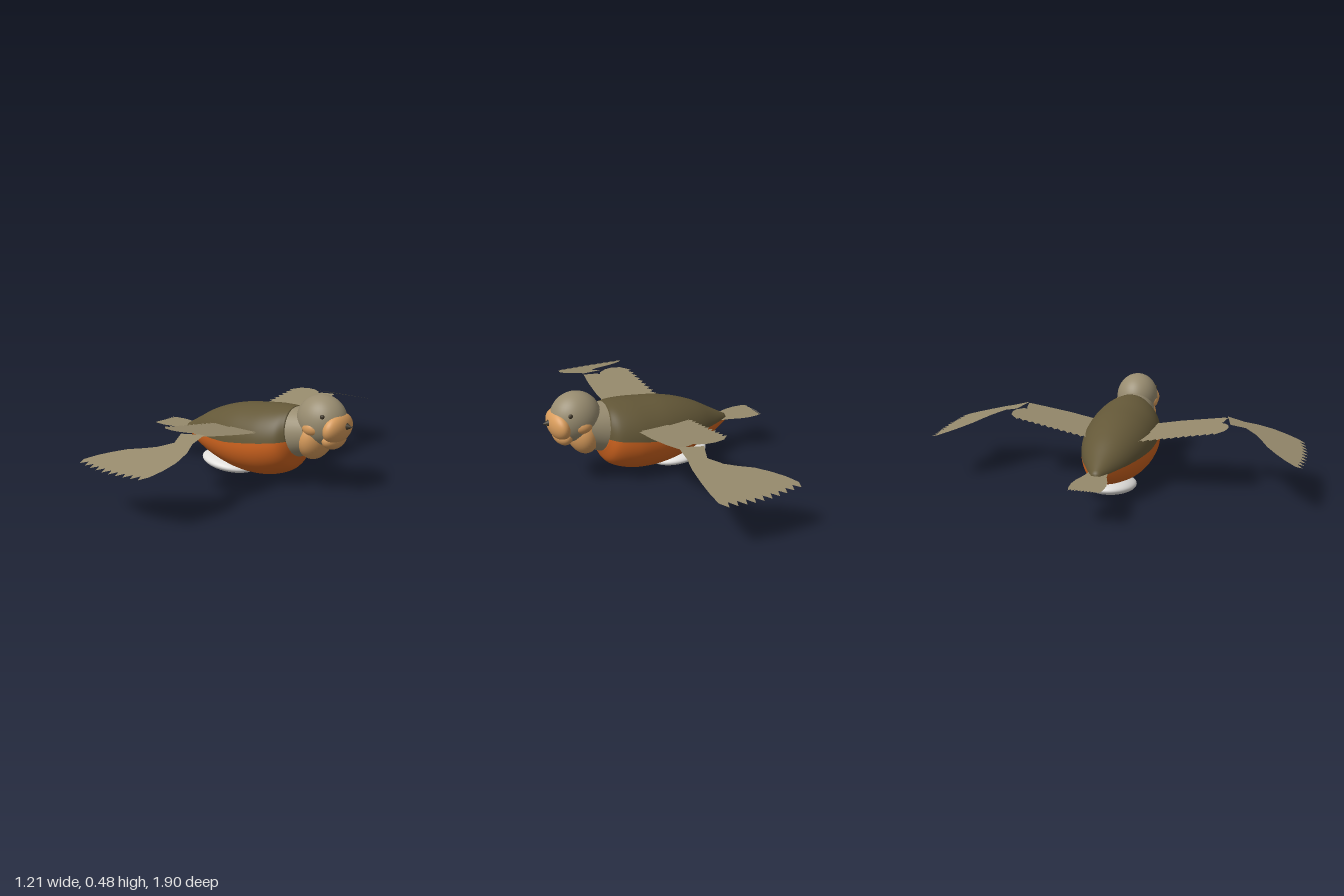
import * as THREE from 'three';

const material = (name, color, side = THREE.FrontSide) =>
  Object.assign(new THREE.MeshStandardMaterial({ color, side }), { name });

export function createModel() {
  const bird = new THREE.Group();
  bird.name = 'bird';
  const olive = material('dark olive', 0x645838);
  const orange = material('rust orange', 0xd0641f);
  const white = material('white', 0xe0dedb);
  const taupe = material('taupe', 0x988c70);
  const peach = material('peach', 0xd89c5c);
  const dark = material('dark brown', 0x40382a);
  const feather = material('feather taupe', 0x968a6c, THREE.DoubleSide);

  const add = (name, geometry, mat) => {
    const mesh = new THREE.Mesh(geometry, mat);
    mesh.name = name;
    bird.add(mesh);
    return mesh;
  };
  const ellipsoid = (name, mat, pos, radii, tilt = 0) => {
    const mesh = add(name, new THREE.SphereGeometry(1, 40, 28), mat);
    mesh.position.set(...pos);
    mesh.scale.set(...radii);
    mesh.rotation.z = tilt;
    return mesh;
  };

  // Body: round sections along x (x, centre height, radius), split into back and breast
  const sections = new THREE.CatmullRomCurve3([
    [-0.39, 0.185, 0.02], [-0.3, 0.187, 0.069], [-0.2, 0.195, 0.117], [-0.1, 0.2, 0.151],
    [0, 0.203, 0.173], [0.1, 0.207, 0.182], [0.2, 0.219, 0.179], [0.29, 0.246, 0.155],
    [0.33, 0.283, 0.116],
  ].map(p => new THREE.Vector3(...p)));
  const rings = sections.getPoints(48);
  rings.unshift(new THREE.Vector3(-0.39, 0.185, 0.0005));
  rings.push(new THREE.Vector3(0.33, 0.283, 0.0005));

  const bodyHalf = (upper) => {
    const pos = [], index = [], n = 36;
    rings.forEach(({ x, y: c, z: r }, i) => {
      const split = 0.205 + (x < 0 ? 0.05 : 0.14) * x;
      const a0 = Math.asin(THREE.MathUtils.clamp((split - c) / Math.max(r, 0.02), -0.9, 0.9));
      const from = upper ? a0 : Math.PI - a0;
      const to = upper ? Math.PI - a0 : 2 * Math.PI + a0;
      const shear = 0.18 * THREE.MathUtils.smoothstep(x, 0.1, 0.33);
      for (let j = 0; j <= n; j++) {
        const a = from + (to - from) * j / n;
        const dy = r * Math.sin(a);
        pos.push(x - shear * dy, c + dy, 1.04 * r * Math.cos(a));
        if (i && j) {
          const d = i * (n + 1) + j, b = d - n - 1;
          index.push(b - 1, d - 1, d, b - 1, d, b);
        }
      }
    });
    const g = new THREE.BufferGeometry();
    g.setAttribute('position', new THREE.Float32BufferAttribute(pos, 3));
    g.setIndex(index);
    g.computeVertexNormals();
    return g;
  };
  add('back', bodyHalf(true), olive);
  add('breast', bodyHalf(false), orange);
  ellipsoid('rumpPatch', white, [-0.107, 0.046, 0], [0.16, 0.041, 0.127], -0.12);

  // Neck and throat
  const neck = add('neck', new THREE.CylinderGeometry(0.105, 0.123, 0.09, 40), taupe);
  neck.position.set(0.374, 0.285, 0);
  neck.rotation.z = -Math.PI / 2 + 0.18;
  ellipsoid('throat', peach, [0.426, 0.268, 0], [0.078, 0.112, 0.112], -0.15);

  // Head and face
  ellipsoid('head', taupe, [0.457, 0.354, 0], [0.126, 0.125, 0.111]);
  ellipsoid('face', peach, [0.545, 0.33, 0], [0.052, 0.075, 0.106], -0.15);
  ellipsoid('chin', peach, [0.528, 0.275, 0], [0.046, 0.05, 0.085], -0.15);
  const beak = add('beak', new THREE.ConeGeometry(0.025, 0.045, 24), dark);
  beak.position.set(0.602, 0.345, 0);
  beak.rotation.z = -Math.PI / 2;
  for (const s of [1, -1]) {
    const side = s > 0 ? 'Left' : 'Right';
    ellipsoid('cheek' + side, peach, [0.452, 0.33, s * 0.072], [0.053, 0.04, 0.044]);
    ellipsoid('eye' + side, dark, [0.515, 0.396, s * 0.09], [0.011, 0.011, 0.009]);
  }

  // Serrated feather edge from p to q with a slight outward bow
  const teeth = ([px, pz], [qx, qz], n, depth, bow) => {
    const len = Math.hypot(qx - px, qz - pz), nx = (qz - pz) / len, nz = (px - qx) / len;
    const pts = [];
    const put = (t, d) => {
      const out = d + bow * Math.sin(Math.PI * t);
      pts.push([px + (qx - px) * t + nx * out, pz + (qz - pz) * t + nz * out]);
    };
    for (let i = 0; i < n; i++) {
      put(i / n, 0);
      put((i + 0.75) / n, depth);
    }
    put(1, 0);
    return pts;
  };
  // Thin flat sheet from an (x, z) outline, raised by a height rule
  const sheet = (name, outline, height, s = 1) => {
    const g = new THREE.ShapeGeometry(new THREE.Shape(outline.map(p => new THREE.Vector2(...p))));
    const p = g.attributes.position;
    for (let i = 0; i < p.count; i++) {
      const x = p.getX(i), z = p.getY(i);
      p.setXYZ(i, x, height(z), s * z);
    }
    g.computeVertexNormals();
    return add(name, g, feather);
  };

  // Wings: inner panel rises to the wrist, outer panel droops to the tip
  const rise = z => 0.28 + (z - 0.15) * 0.17;
  const droop = z => 0.35 - (z - 0.55) * 0.27;
  for (const s of [1, -1]) {
    const side = s > 0 ? 'Left' : 'Right';
    sheet('innerWing' + side, [
      [0.19, 0.08], [0.2, 0.18], [0.207, 0.32], [0.2, 0.45], [0.188, 0.54], [0.115, 0.525],
      [0.1, 0.515], [0.09, 0.535], [0.05, 0.557], [0.01, 0.563], [-0.04, 0.552],
      ...teeth([-0.062, 0.53], [-0.09, 0.08], 13, 0.022, 0),
    ], rise, s);
    sheet('wingCoverts' + side, [
      [0.18, 0.1], [0.197, 0.3], [0.183, 0.53], [0.115, 0.52], [0.085, 0.46], [0.06, 0.38],
      [0.06, 0.28], [0.04, 0.2], [0.03, 0.1],
    ], z => rise(z) + 0.004, s);
    const bulge = s > 0 ? 0.025 : 0;
    sheet('outerWing' + side, [
      [0.072, 0.565], [0.188, 0.537], [0.19, 0.62], [0.203 + bulge * 0.7, 0.69],
      [0.207 + bulge, 0.77], [0.206 + bulge * 0.6, 0.84],
      ...teeth([0.2, 0.9], [-0.205, 0.9], 10, 0.03, 0.02),
      [-0.17, 0.85], [-0.125, 0.805], [-0.07, 0.76], [0, 0.725], [0.05, 0.695], [0.1, 0.64],
    ], droop, s);
  }

  // Tail fan
  sheet('tail', [
    [-0.33, -0.045], [-0.33, 0.045], [-0.39, 0.055], [-0.45, 0.075], [-0.5, 0.083], [-0.55, 0.08],
    ...teeth([-0.57, 0.075], [-0.57, -0.075], 10, 0.014, 0),
    [-0.55, -0.08], [-0.5, -0.083], [-0.45, -0.075], [-0.39, -0.055],
  ], () => 0.19);

  return bird;
}
